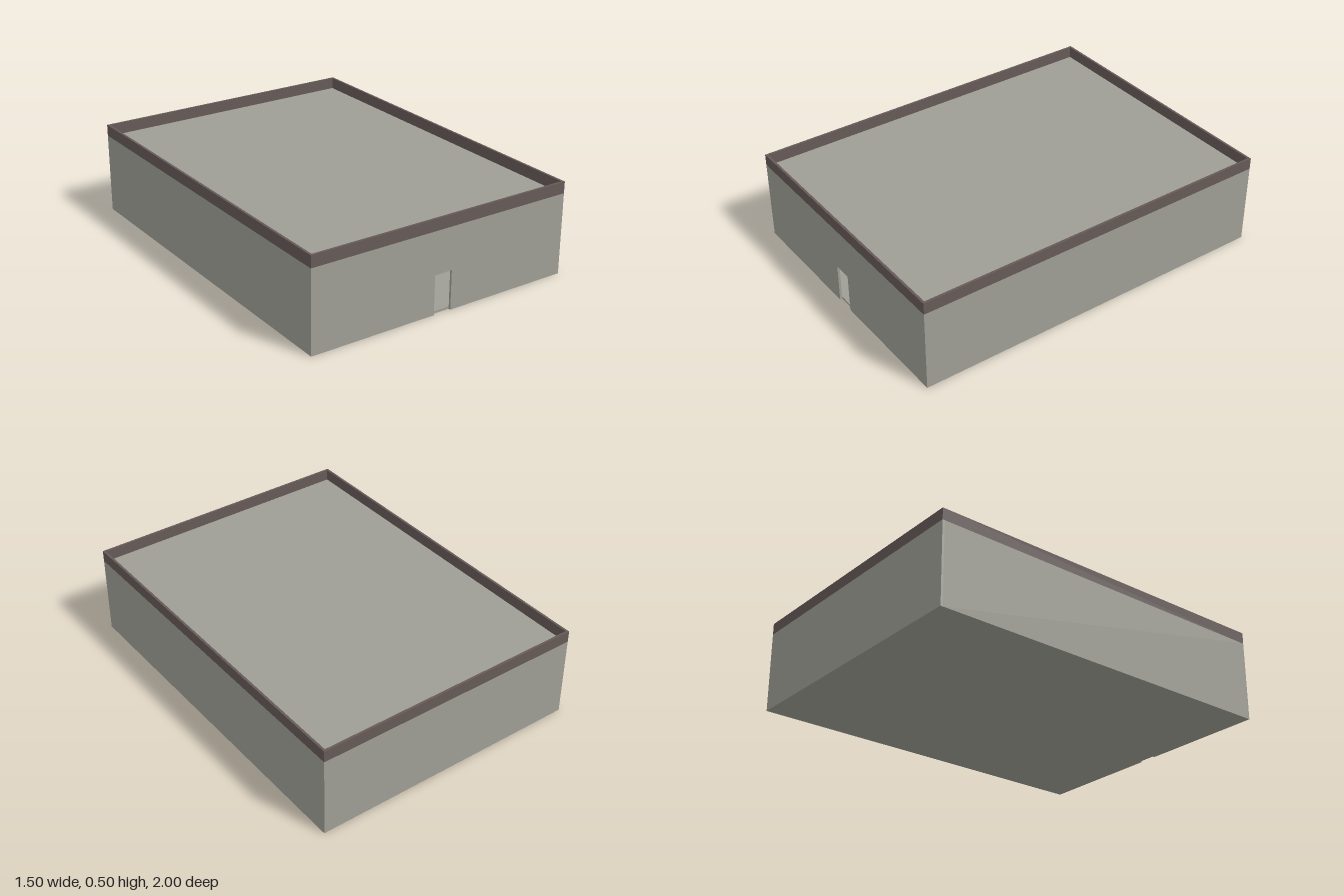
import * as THREE from 'three';

export function createModel() {
  const group = new THREE.Group();
  group.name = 'flatRoofBuilding';

  const plaster = new THREE.MeshStandardMaterial({ color: 0x9f9e95 });
  plaster.name = 'grey plaster';
  const trim = new THREE.MeshStandardMaterial({ color: 0x665a57 });
  trim.name = 'brown trim';

  const halfW = 0.7475, halfD = 1, wallTop = 0.4375, top = 0.5, t = 0.0125;
  const innerW = 2 * (halfW - t), innerD = 2 * (halfD - t);

  const add = (name, geometry, material, x, y, z) => {
    const mesh = new THREE.Mesh(geometry, material);
    mesh.name = name;
    mesh.position.set(x, y, z);
    group.add(mesh);
  };
  const box = (name, w, h, d, material, x, y, z) =>
    add(name, new THREE.BoxGeometry(w, h, d), material, x, y, z);

  // Front wall with a doorway open down to the ground
  const doorHalf = 0.05, doorTop = 0.21;
  const front = new THREE.Shape([
    [-halfW, 0], [-doorHalf, 0], [-doorHalf, doorTop], [doorHalf, doorTop],
    [doorHalf, 0], [halfW, 0], [halfW, wallTop], [-halfW, wallTop],
  ].map(([x, y]) => new THREE.Vector2(x, y)));
  add('frontWall', new THREE.ExtrudeGeometry(front, { depth: t, bevelEnabled: false }),
    plaster, 0, 0, halfD - t);

  // Back and side walls
  box('backWall', 2 * halfW, wallTop, t, plaster, 0, wallTop / 2, -halfD + t / 2);
  for (const [name, s] of [['leftWall', 1], ['rightWall', -1]]) {
    box(name, t, wallTop, innerD, plaster, s * (halfW - t / 2), wallTop / 2, 0);
  }

  // Floor and roof slabs set between the walls
  box('floor', innerW, t, innerD, plaster, 0, t / 2, 0);
  box('roof', innerW, t, innerD, plaster, 0, wallTop - t / 2, 0);

  // Parapet ring on top of the walls
  const rectangle = (w, d) => [[-w, -d], [w, -d], [w, d], [-w, d]]
    .map(([x, y]) => new THREE.Vector2(x, y));
  const ring = new THREE.Shape(rectangle(halfW, halfD));
  ring.holes.push(new THREE.Path(rectangle(halfW - t, halfD - t)));
  const parapet = new THREE.ExtrudeGeometry(ring, { depth: top - wallTop, bevelEnabled: false });
  parapet.rotateX(-Math.PI / 2);
  add('parapet', parapet, trim, 0, wallTop, 0);

  return group;
}
